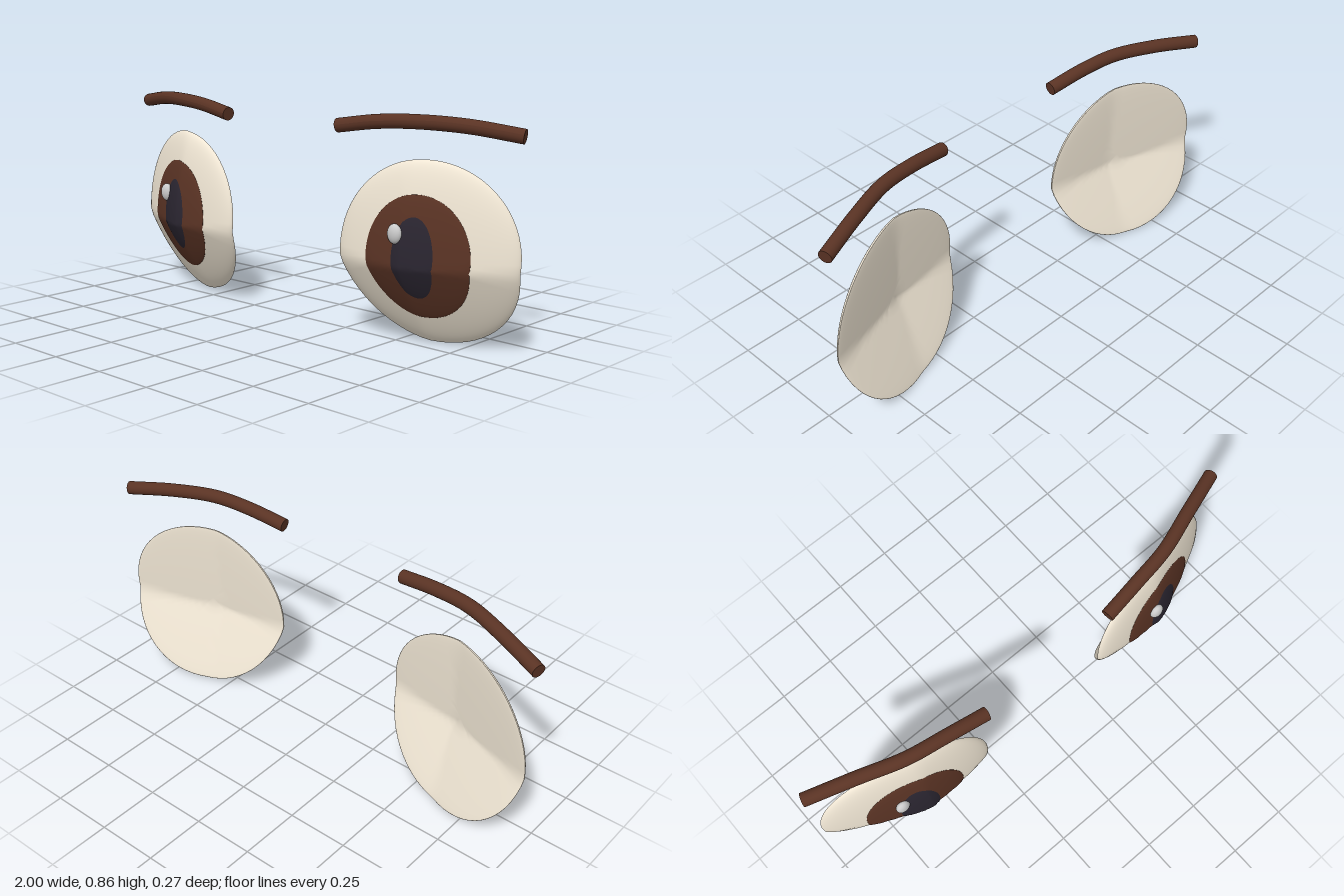
import * as THREE from 'three';
import { mergeVertices } from 'three/addons/utils/BufferGeometryUtils.js';

const CX = 0.64, CY = 0.35, R = 0.348;

const material = (color) => new THREE.MeshStandardMaterial({ color });
const white = material(0xf0e6d4);
const brown = material(0x5a3324);
const dark = material(0x2a2530);
const glint = material(0xe4e4e4);

// Bent face surface the eyes are draped over: it folds near x = 0.6 and y = 0.31
function faceZ(x, y) {
  const ax = Math.abs(x);
  const fx = ax > 0.6 ? -0.33 * (ax - 0.6) : 0.11 * (0.6 - ax);
  const fy = y < 0.31 ? -0.42 * (0.31 - y) : -0.065 * (y - 0.31);
  return 0.047 + fx + fy;
}

// Front of the eyeball dome above the face surface
function domeZ(x, y) {
  const r2 = ((Math.abs(x) - CX) ** 2 + (y - CY) ** 2) / (R * R);
  return faceZ(x, y) + 0.057 * Math.sqrt(Math.max(0, 1 - r2));
}

// Flattened ellipsoid whose depth is measured from a base surface
function drapedDisc(name, mat, cx, cy, rx, ry, front, back, base) {
  let geo = new THREE.SphereGeometry(1, 64, 40).rotateX(Math.PI / 2);
  geo.deleteAttribute('uv');
  geo.deleteAttribute('normal');
  geo = mergeVertices(geo, 1e-5);
  const p = geo.attributes.position;
  for (let i = 0; i < p.count; i++) {
    const x = cx + p.getX(i) * rx, y = cy + p.getY(i) * ry, z = p.getZ(i);
    p.setXYZ(i, x, y, base(x, y) + z * (z > 0 ? front : back));
  }
  geo.computeVertexNormals();
  const mesh = new THREE.Mesh(geo, mat);
  mesh.name = name;
  return mesh;
}

// Capped cylinder bent along an arched curve
function eyebrow(side) {
  const curve = new THREE.CatmullRomCurve3([
    [0.292, 0.803, 0.098], [0.46, 0.828, 0.076], [0.62, 0.837, 0.05],
    [0.8, 0.829, -0.012], [0.99, 0.803, -0.08],
  ].map(([x, y, z]) => new THREE.Vector3(side * x, y, z)));
  const geo = new THREE.CylinderGeometry(0.027, 0.027, 1, 24, 28);
  const p = geo.attributes.position;
  const up = new THREE.Vector3(0, 1, 0);
  for (let i = 0; i < p.count; i++) {
    const t = THREE.MathUtils.clamp(p.getY(i) + 0.5, 0, 1);
    const turn = new THREE.Quaternion().setFromUnitVectors(up, curve.getTangentAt(t));
    const v = new THREE.Vector3(p.getX(i), 0, p.getZ(i)).applyQuaternion(turn).add(curve.getPointAt(t));
    p.setXYZ(i, v.x, v.y, v.z);
  }
  geo.computeVertexNormals();
  const mesh = new THREE.Mesh(geo, brown);
  mesh.name = 'eyebrow';
  return mesh;
}

export function createModel() {
  const model = new THREE.Group();
  model.name = 'eyes';
  for (const side of [1, -1]) {
    const eye = new THREE.Group();
    eye.name = side > 0 ? 'leftEye' : 'rightEye';
    const x = side * CX;
    eye.add(
      drapedDisc('eyeball', white, x, CY + 0.002, R, R, 0.057, 0.01, faceZ),
      drapedDisc('iris', brown, x, 0.347, 0.2, 0.232, 0.011, 0.005, domeZ),
      drapedDisc('pupil', dark, x, 0.348, 0.09, 0.167, 0.02, 0.002, domeZ),
      eyebrow(side),
    );
    // Both glints sit on the same side of their pupils
    const gx = x - 0.064, gy = 0.436;
    const spot = new THREE.Mesh(new THREE.SphereGeometry(1, 32, 20), glint);
    spot.name = 'glint';
    spot.scale.set(0.03, 0.037, 0.02);
    spot.position.set(gx, gy, domeZ(gx, gy) + 0.015);
    eye.add(spot);
    model.add(eye);
  }
  return model;
}
